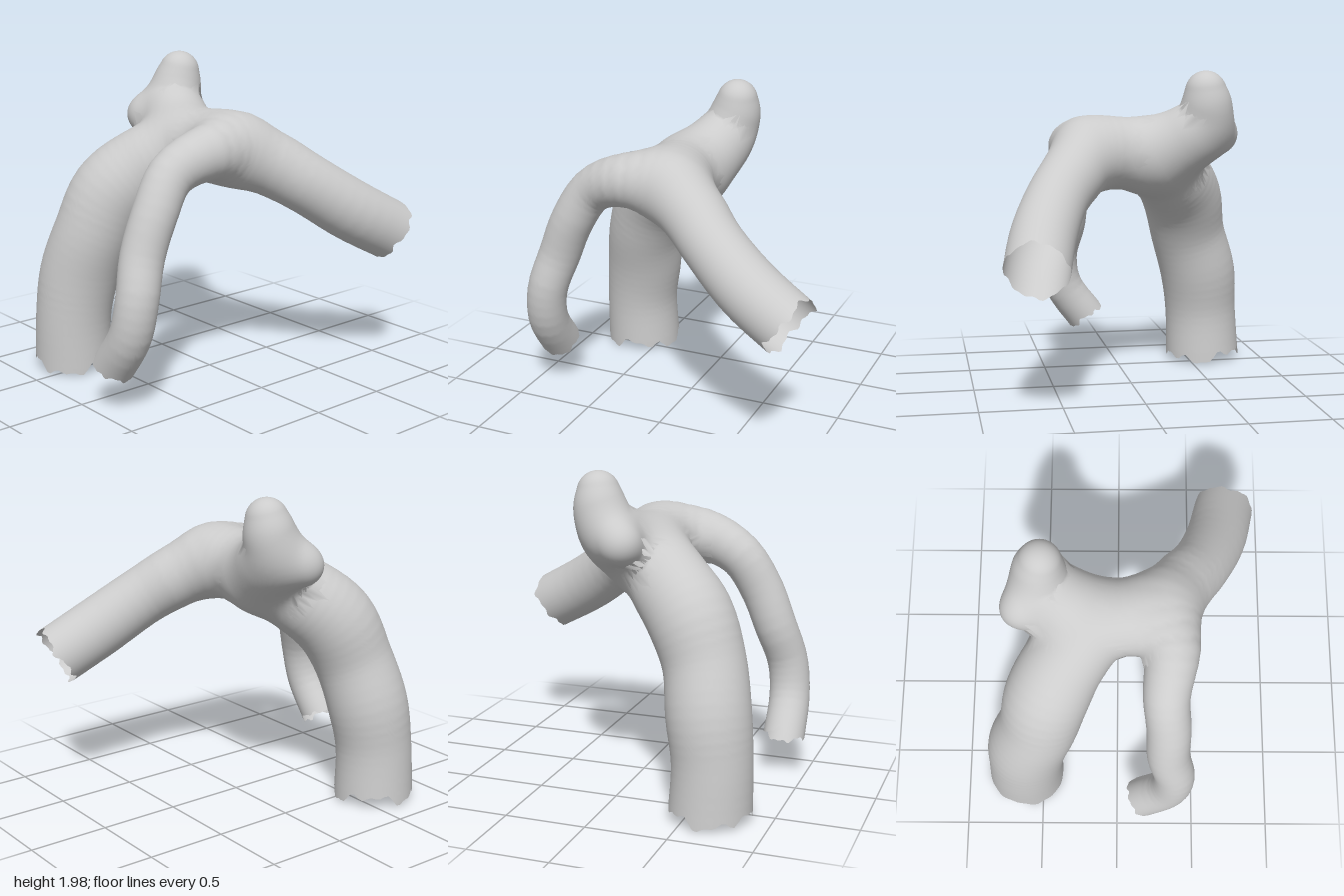
import * as THREE from 'three';

// Each vessel: control points [x, y, z, radius]; jag = ragged trim at [start, end]; cap = rounded tip
const VESSELS = [
  { name: 'branchArteries', rings: 120, jag: [0.018, 0.018], pts: [
    [0.93, 0.89, 0.695, 0.19], [0.62, 1.065, 0.62, 0.192], [0.355, 1.25, 0.505, 0.187], [0.17, 1.38, 0.38, 0.2],
    [-0.03, 1.475, 0.28, 0.21], [-0.28, 1.5, 0.32, 0.167], [-0.53, 1.4, 0.29, 0.14], [-0.67, 1.195, 0.31, 0.135],
    [-0.77, 0.95, 0.315, 0.132], [-0.843, 0.72, 0.36, 0.127], [-0.87, 0.5, 0.325, 0.127], [-0.877, 0.26, 0.155, 0.13]] },
  { name: 'trunkArtery', rings: 110, jag: [0, 0.04], pts: [
    [-0.02, 1.48, 0.25, 0.19], [-0.06, 1.475, 0.06, 0.225], [-0.12, 1.43, -0.14, 0.232], [-0.28, 1.31, -0.31, 0.248],
    [-0.44, 1.15, -0.42, 0.26], [-0.55, 0.9, -0.485, 0.247], [-0.605, 0.62, -0.57, 0.252], [-0.64, 0.34, -0.6, 0.24],
    [-0.635, -0.01, -0.615, 0.25]] },
  { name: 'aneurysmSac', rings: 50, jag: [0, 0], cap: true, pts: [
    [-0.06, 1.46, -0.16, 0.19], [0.02, 1.58, -0.34, 0.18], [0.08, 1.68, -0.45, 0.167],
    [0.105, 1.77, -0.455, 0.158], [0.12, 1.86, -0.445, 0.128]] },
  { name: 'aneurysmLobe', rings: 50, jag: [0, 0], cap: true, pts: [
    [-0.04, 1.46, -0.2, 0.18], [0.02, 1.55, -0.37, 0.165], [0.0, 1.58, -0.48, 0.145], [-0.055, 1.585, -0.565, 0.125]] },
];
const SIDES = 56, BLEND = 0.13, SEGS = 40;

// Smooth centre line and radius, plus a sampled chain for distance tests
for (const v of VESSELS) {
  v.path = new THREE.CatmullRomCurve3(v.pts.map(p => new THREE.Vector3(p[0], p[1], p[2])));
  v.rad = new THREE.CatmullRomCurve3(v.pts.map(p => new THREE.Vector3(p[3], 0, 0)), false, 'catmullrom');
  v.chain = Array.from({ length: SEGS + 1 }, (_, i) => ({ c: v.path.getPoint(i / SEGS), r: v.rad.getPoint(i / SEGS).x }));
}

// Signed distance to one vessel: tapered capsules along its chain
function vesselDistance(v, p) {
  let best = Infinity;
  for (let i = 0; i < SEGS; i++) {
    const a = v.chain[i], b = v.chain[i + 1];
    const ex = b.c.x - a.c.x, ey = b.c.y - a.c.y, ez = b.c.z - a.c.z;
    const px = p.x - a.c.x, py = p.y - a.c.y, pz = p.z - a.c.z;
    const t = Math.min(1, Math.max(0, (px * ex + py * ey + pz * ez) / (ex * ex + ey * ey + ez * ez)));
    const d = Math.hypot(px - ex * t, py - ey * t, pz - ez * t) - (a.r + (b.r - a.r) * t);
    if (d < best) best = d;
  }
  return best;
}

// Smoothly blended union of all vessels
function field(p) {
  let d = Infinity;
  for (const v of VESSELS) {
    const e = vesselDistance(v, p);
    const h = Math.max(BLEND - Math.abs(d - e), 0) / BLEND;
    d = Math.min(d, e) - (h * h * BLEND) / 4;
  }
  return d;
}

function fieldNormal(p) {
  const n = new THREE.Vector3(), q = new THREE.Vector3();
  for (const k of ['x', 'y', 'z']) {
    q.copy(p)[k] += 0.012;
    n[k] = field(q);
    q[k] -= 0.024;
    n[k] -= field(q);
  }
  return n.normalize();
}

// Push a point from the centre line out to the blended wall
function toWall(origin, dir, reach) {
  const p = origin.clone();
  let t = 0;
  for (let i = 0; i < 40 && t < reach; i++) {
    const d = field(p);
    if (d > -0.0005) break;
    t = Math.min(t - d, reach);
    p.copy(origin).addScaledVector(dir, t);
  }
  return p;
}

// Ragged rim, 0..1 around the tube
const ragged = (a, s) => 0.5 + 0.22 * Math.sin(3 * a + s) + 0.16 * Math.sin(7 * a + 2 * s) + 0.12 * Math.sin(13 * a + s);

function buildVessel(v) {
  const pts = [], nor = [], idx = [];
  const capRings = v.cap ? 12 : 0, rows = v.rings + capRings;
  const side = new THREE.Vector3(0.3, 1, 0.2);
  for (let i = 0; i <= rows; i++) {
    const u = Math.min(i / v.rings, 1);
    const tilt = Math.max(0, i - v.rings) / (capRings || 1) * Math.PI / 2;
    // carry the frame along the path without twist
    const tan = v.path.getTangent(u);
    side.addScaledVector(tan, -side.dot(tan)).normalize();
    const other = tan.clone().cross(side);
    for (let j = 0; j <= SIDES; j++) {
      const a = (j % SIDES) / SIDES * Math.PI * 2;
      const s = v.jag[0] * ragged(a, 1), e = v.jag[1] * ragged(a, 4);
      const w = s + u * (1 - s - e);
      const dir = side.clone().multiplyScalar(Math.cos(a)).addScaledVector(other, Math.sin(a))
        .multiplyScalar(Math.cos(tilt)).addScaledVector(tan, Math.sin(tilt));
      const p = toWall(v.path.getPoint(w), dir, 2.5 * v.rad.getPoint(w).x);
      pts.push(p);
      nor.push(...fieldNormal(p).toArray());
    }
  }
  // keep only faces that lie on the blended wall, dropping those inside or bridging a gap
  const mid = new THREE.Vector3();
  for (let i = 0; i < rows; i++) for (let j = 0; j < SIDES; j++) {
    const k = i * (SIDES + 1) + j, m = k + SIDES + 1;
    for (const [a, b, c] of [[k, k + 1, m], [k + 1, m + 1, m]]) {
      mid.copy(pts[a]).add(pts[b]).add(pts[c]).divideScalar(3);
      if (Math.abs(field(mid)) < 0.012) idx.push(a, b, c);
    }
  }
  const g = new THREE.BufferGeometry().setFromPoints(pts);
  g.setAttribute('normal', new THREE.Float32BufferAttribute(nor, 3));
  g.setIndex(idx);
  return g;
}

export function createModel() {
  const group = new THREE.Group();
  group.name = 'branchingArtery';
  const wall = new THREE.MeshStandardMaterial({ color: 0xcccccc, side: THREE.DoubleSide });
  for (const v of VESSELS) {
    const mesh = new THREE.Mesh(buildVessel(v), wall);
    mesh.name = v.name;
    group.add(mesh);
  }
  return group;
}
